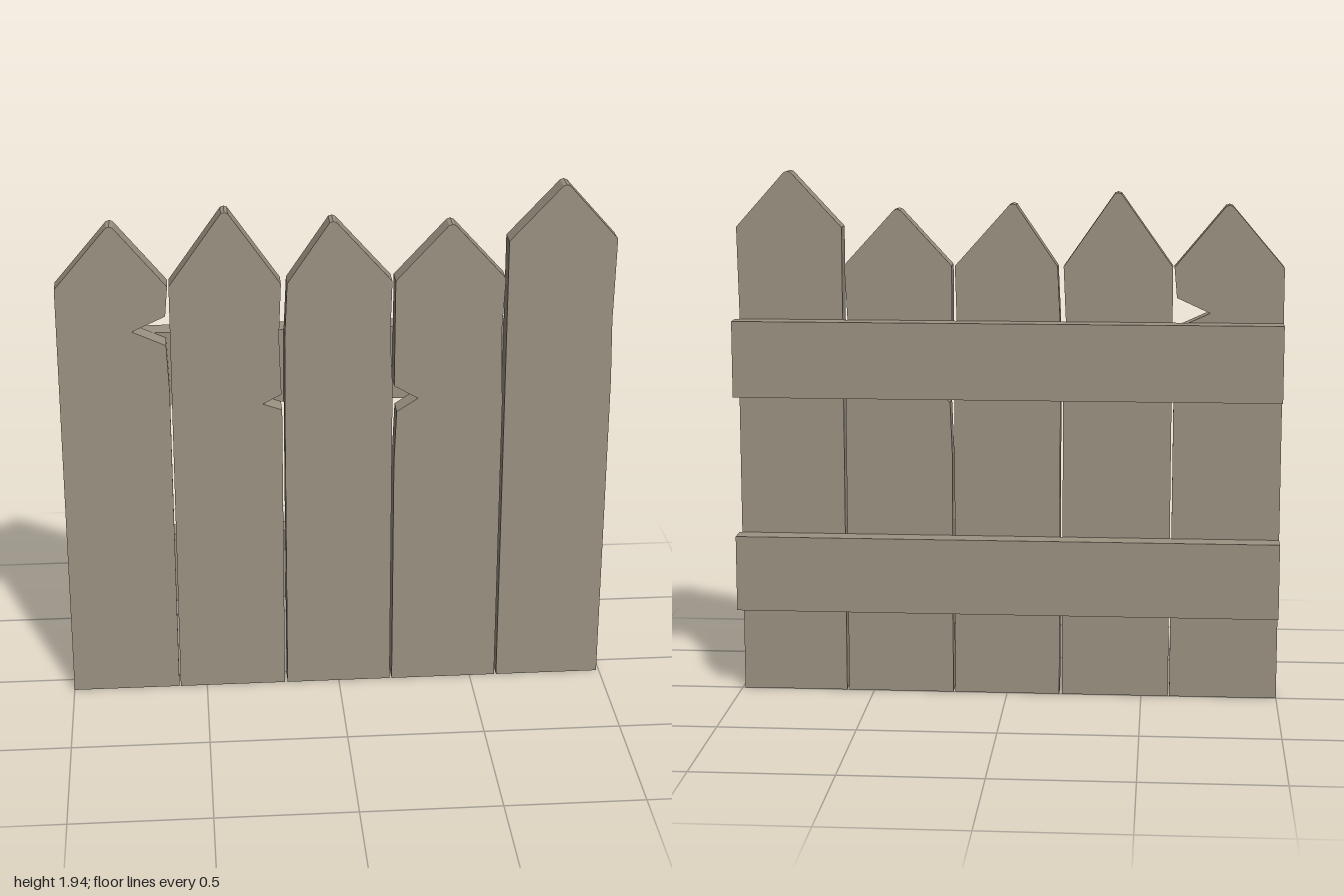
import * as THREE from 'three';

const DEPTH = 0.08;

// One picket: left edge bottom-up, pointed tip, right edge top-down
function makePicket(name, left, tip, right, material) {
  const [tx, ty] = tip;
  const outline = [...left, [tx - 0.012, ty - 0.004], [tx, ty], [tx + 0.012, ty - 0.004], ...right];
  const shape = new THREE.Shape(outline.map(([x, y]) => new THREE.Vector2(x, y)));
  const mesh = new THREE.Mesh(
    new THREE.ExtrudeGeometry(shape, { depth: DEPTH, bevelEnabled: false }), material);
  mesh.name = name;
  return mesh;
}

export function createModel() {
  const group = new THREE.Group();
  group.name = 'picketFence';
  const wood = new THREE.MeshStandardMaterial({ color: 0x9b9282 });
  wood.name = 'weatheredWood';

  // Pickets with worn edges and splintered notches
  const pickets = [
    { left: [[-1, 0], [-1, 1.6]], tip: [-0.8, 1.825],
      right: [[-0.605, 1.6], [-0.615, 1.49], [-0.735, 1.435], [-0.615, 1.38], [-0.607, 1.2], [-0.605, 0]] },
    { left: [[-0.6, 0], [-0.6, 1.6]], tip: [-0.4, 1.868],
      right: [[-0.205, 1.6], [-0.214, 1.4], [-0.207, 1.18], [-0.275, 1.145], [-0.205, 1.12], [-0.205, 0]] },
    { left: [[-0.195, 0], [-0.195, 1.12], [-0.193, 1.4], [-0.183, 1.6]], tip: [-0.02, 1.826],
      right: [[0.19, 1.6], [0.184, 1.4], [0.194, 1.2], [0.194, 0]] },
    { left: [[0.202, 0], [0.202, 0.9], [0.21, 1.1], [0.287, 1.15], [0.2, 1.2], [0.202, 1.6]], tip: [0.4, 1.805],
      right: [[0.595, 1.6], [0.585, 1.4], [0.595, 1.12], [0.595, 0]] },
    { left: [[0.603, 0], [0.603, 1.737]], tip: [0.8, 1.94],
      right: [[0.99, 1.737], [0.984, 1.43], [0.99, 1.2], [0.99, 0]] },
  ];
  pickets.forEach((p, i) =>
    group.add(makePicket(`picket${i + 1}`, p.left, p.tip, p.right, wood)));

  // Two horizontal rails behind the pickets
  for (const [name, y] of [['lowerRail', 0.46], ['upperRail', 1.26]]) {
    const rail = new THREE.Mesh(new THREE.BoxGeometry(2, 0.28, DEPTH), wood);
    rail.name = name;
    rail.position.set(0, y, -DEPTH / 2);
    group.add(rail);
  }
  return group;
}
